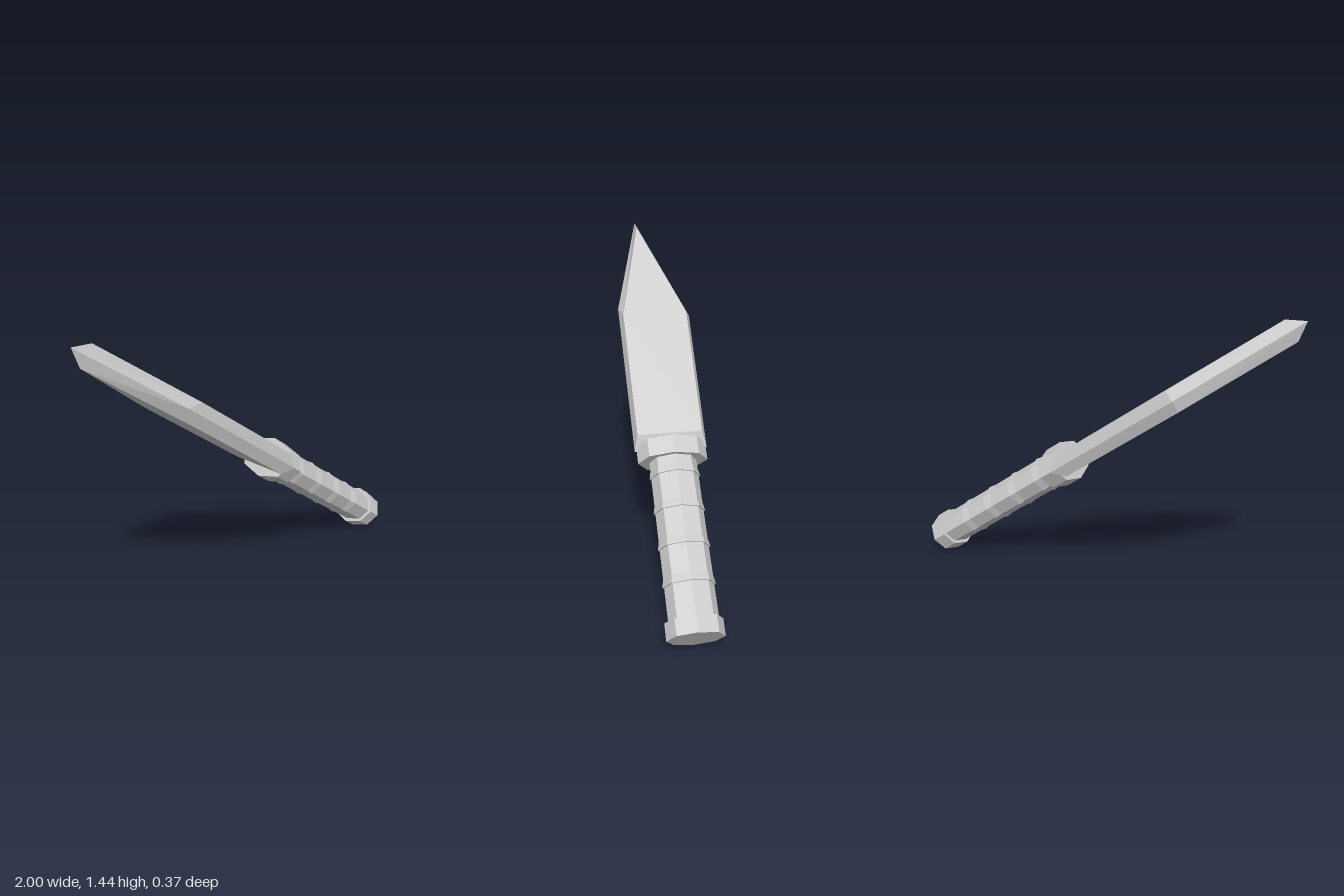
import * as THREE from 'three';

const material = new THREE.MeshStandardMaterial({ color: 0xcccccc, flatShading: true });

function part(name, geometry) {
  const mesh = new THREE.Mesh(geometry, material);
  mesh.name = name;
  return mesh;
}

// Flattened octagonal collar running from y0 to y1
function collar(name, rx, rz, y0, y1) {
  const g = new THREE.CylinderGeometry(rz, rz, y1 - y0, 8);
  g.scale(rx / rz, 1, 1);
  g.translate(0, (y0 + y1) / 2, 0);
  return part(name, g);
}

// Octagonal grip whose overlapping wraps each end in a small lip
function gripGeometry() {
  const profile = [[0.115, 0.07]];
  for (const y of [0.24, 0.42, 0.6, 0.78]) {
    profile.push([0.115, y], [0.123, y], [0.115, y + 0.04]);
  }
  profile.push([0.115, 0.88]);
  const g = new THREE.LatheGeometry(profile.map(([r, y]) => new THREE.Vector2(r, y)), 8);
  g.scale(0.76, 1, 1);
  return g;
}

// Blade lofted from a flat face, the wider cutting outline and the other flat face
function bladeGeometry() {
  const edge = [[0.93, -0.175], [1.715, -0.187], [2.362, 0.04], [1.777, 0.185], [0.93, 0.18]];
  const flat = [[0.994, -0.155], [1.704, -0.165], [2.278, 0.04], [1.7, 0.166], [0.994, 0.163]];
  const loops = [[-0.057, flat], [0, edge], [0.057, flat]];
  const n = edge.length;
  const positions = loops.flatMap(([x, loop]) => loop.flatMap(([y, z]) => [x, y, z]));
  const index = [];
  for (let k = 0; k < 2; k++) {
    for (let i = 0; i < n; i++) {
      const a = k * n + i, b = k * n + (i + 1) % n;
      index.push(a, b, b + n, a, b + n, a + n);
    }
  }
  for (let i = 1; i < n - 1; i++) {
    index.push(0, i + 1, i);
    index.push(2 * n, 2 * n + i, 2 * n + i + 1);
  }
  const g = new THREE.BufferGeometry();
  g.setAttribute('position', new THREE.Float32BufferAttribute(positions, 3));
  g.setIndex(index);
  g.computeVertexNormals();
  return g;
}

export function createModel() {
  // Parts are built upright along y, then the knife is tilted
  const knife = new THREE.Group();
  knife.name = 'knife';
  knife.add(
    collar('pommel', 0.105, 0.133, 0, 0.08),
    part('grip', gripGeometry()),
    collar('guard', 0.106, 0.17, 0.866, 0.96),
    part('blade', bladeGeometry()),
  );
  knife.rotation.z = THREE.MathUtils.degToRad(55);
  knife.position.set(0.937, 0.088, 0);

  const model = new THREE.Group();
  model.name = 'model';
  model.add(knife);
  return model;
}
